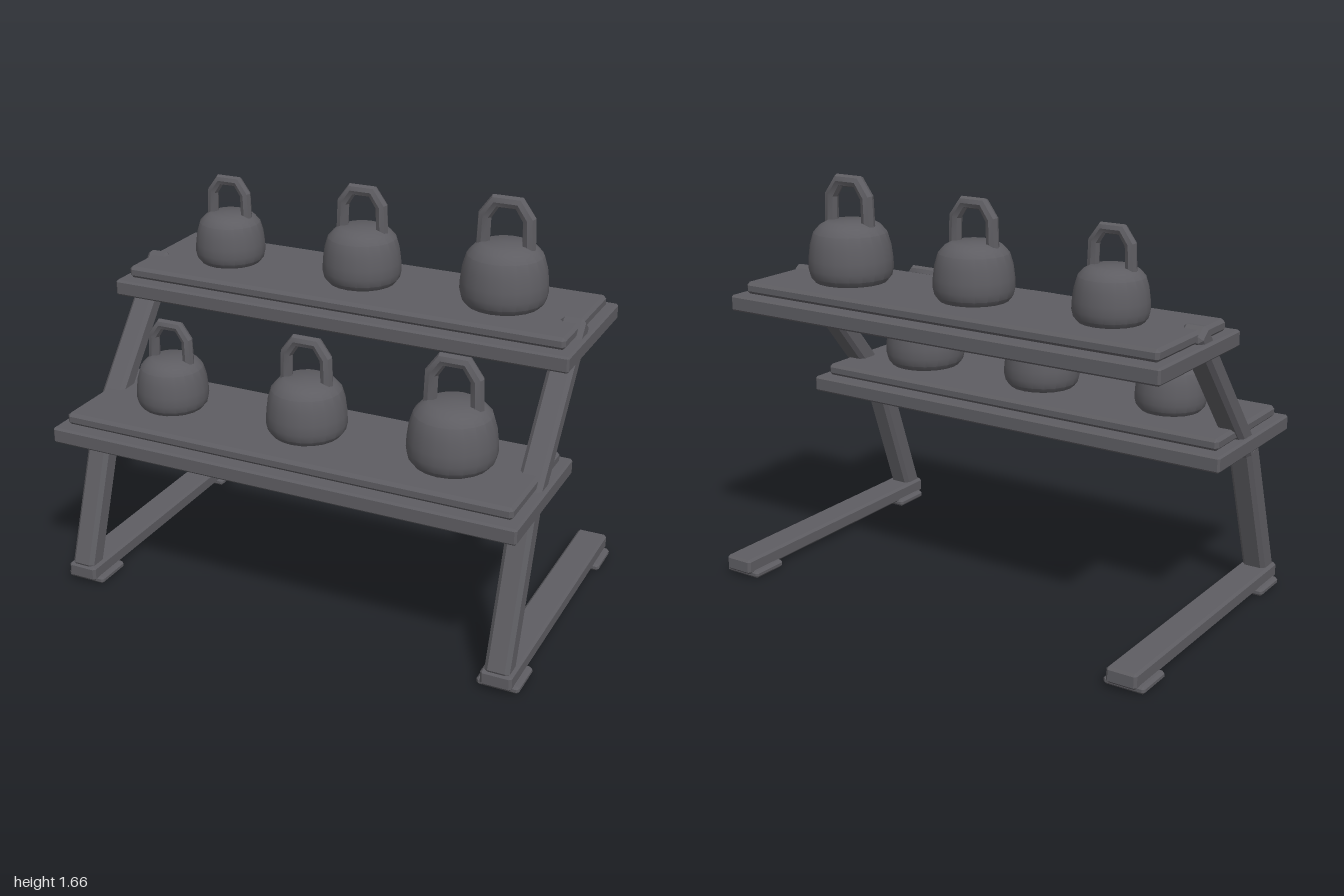
import * as THREE from 'three';
import { toCreasedNormals } from 'three/addons/utils/BufferGeometryUtils.js';
import { ConvexGeometry } from 'three/addons/geometries/ConvexGeometry.js';

const iron = new THREE.MeshStandardMaterial({ color: 0x5e5d62 });
iron.name = 'dark iron grey';

function add(parent, name, geometry, x = 0, y = 0, z = 0) {
  const mesh = new THREE.Mesh(geometry, iron);
  mesh.name = name;
  mesh.position.set(x, y, z);
  parent.add(mesh);
  return mesh;
}

// Box with every edge chamfered by c
function chamferBox(w, h, d, c) {
  const pts = [];
  const [a, b, e] = [w / 2, h / 2, d / 2];
  for (const i of [-1, 1]) for (const j of [-1, 1]) for (const k of [-1, 1]) {
    pts.push(
      new THREE.Vector3(i * a, j * (b - c), k * (e - c)),
      new THREE.Vector3(i * (a - c), j * b, k * (e - c)),
      new THREE.Vector3(i * (a - c), j * (b - c), k * e));
  }
  return new ConvexGeometry(pts);
}

// Straight-sided path whose samples fall exactly on its corners
class Polyline extends THREE.Curve {
  constructor(points) {
    super();
    this.points = points;
  }
  getPoint(t, target = new THREE.Vector3()) {
    const n = this.points.length - 1;
    const i = Math.min(Math.floor(t * n + 1e-9), n - 1);
    return target.lerpVectors(this.points[i], this.points[i + 1], t * n - i);
  }
  getPointAt(u, target) { return this.getPoint(u, target); }
  getTangentAt(u, target = new THREE.Vector3()) {
    const n = this.points.length - 1;
    const i = Math.round(u * n);
    target.set(0, 0, 0);
    const p = this.points;
    if (i > 0) target.add(p[i].clone().sub(p[i - 1]).normalize());
    if (i < n) target.add(p[i + 1].clone().sub(p[i]).normalize());
    return target.normalize();
  }
}

// Square post leaning in the side plane between two (z, y) points
function post(parent, name, x, [z0, y0], [z1, y1], size) {
  const dz = z1 - z0, dy = y1 - y0;
  const mesh = add(parent, name, chamferBox(0.1, Math.hypot(dz, dy), size, 0.016),
    x, (y0 + y1) / 2, (z0 + z1) / 2);
  mesh.rotation.x = Math.atan2(dz, dy);
}

// Kettlebell standing on its own origin
const bellProfile = [[0, 0], [0.148, 0], [0.166, 0.022], [0.174, 0.055], [0.172, 0.095],
  [0.165, 0.15], [0.15, 0.2], [0.125, 0.228], [0.095, 0.244], [0, 0.246]]
  .map(([r, y]) => new THREE.Vector2(r, y));
const bellGeometry = toCreasedNormals(new THREE.LatheGeometry(bellProfile, 20), 0.5);
const handlePath = new Polyline([[-0.095, 0.2], [-0.09, 0.345], [-0.048, 0.405],
  [0.048, 0.405], [0.09, 0.345], [0.095, 0.2]].map(([x, y]) => new THREE.Vector3(x, y, 0)));
const handleGeometry = toCreasedNormals(new THREE.TubeGeometry(handlePath, 5, 0.028, 8), 0.5);

function kettlebell(size) {
  const bell = new THREE.Group();
  bell.name = 'kettlebell';
  add(bell, 'bellBody', bellGeometry);
  add(bell, 'bellHandle', handleGeometry);
  bell.scale.setScalar(size);
  return bell;
}

export function createModel() {
  const model = new THREE.Group();
  model.name = 'kettlebellRack';

  // Two shelves, each with a raised mat and three bells growing in size
  for (const [name, y, z] of [['lowerShelf', 0.652, 0.305], ['upperShelf', 1.117, -0.195]]) {
    const shelf = new THREE.Group();
    shelf.name = name;
    shelf.position.set(0, y, z);
    add(shelf, 'shelfBoard', chamferBox(1.96, 0.066, 0.637, 0.008), 0, 0.033, 0);
    add(shelf, 'shelfMat', chamferBox(1.89, 0.05, 0.532, 0.013), 0, 0.09, 0);
    [0.84, 0.925, 1].forEach((size, i) => {
      const bell = kettlebell(size);
      bell.position.set((i - 1) * 0.607, 0.115, 0);
      shelf.add(bell);
    });
    model.add(shelf);
  }

  // Mirrored side frames: floor rail, pads and the two leaning posts
  for (const side of [-1, 1]) {
    const frame = new THREE.Group();
    frame.name = side > 0 ? 'leftFrame' : 'rightFrame';
    const x = side * 0.915;
    add(frame, 'floorRail', chamferBox(0.126, 0.064, 1.21, 0.01), x, 0.052, -0.015);
    for (const z of [0.483, -0.516]) {
      add(frame, 'footPad', chamferBox(0.17, 0.032, 0.165, 0.01), x, 0.016, z);
    }
    post(frame, 'lowerPost', x, [0.548, 0.06], [0.336, 0.66], 0.092);
    post(frame, 'upperPost', x, [0.342, 0.635], [-0.148, 1.228], 0.083);
    model.add(frame);
  }
  return model;
}
